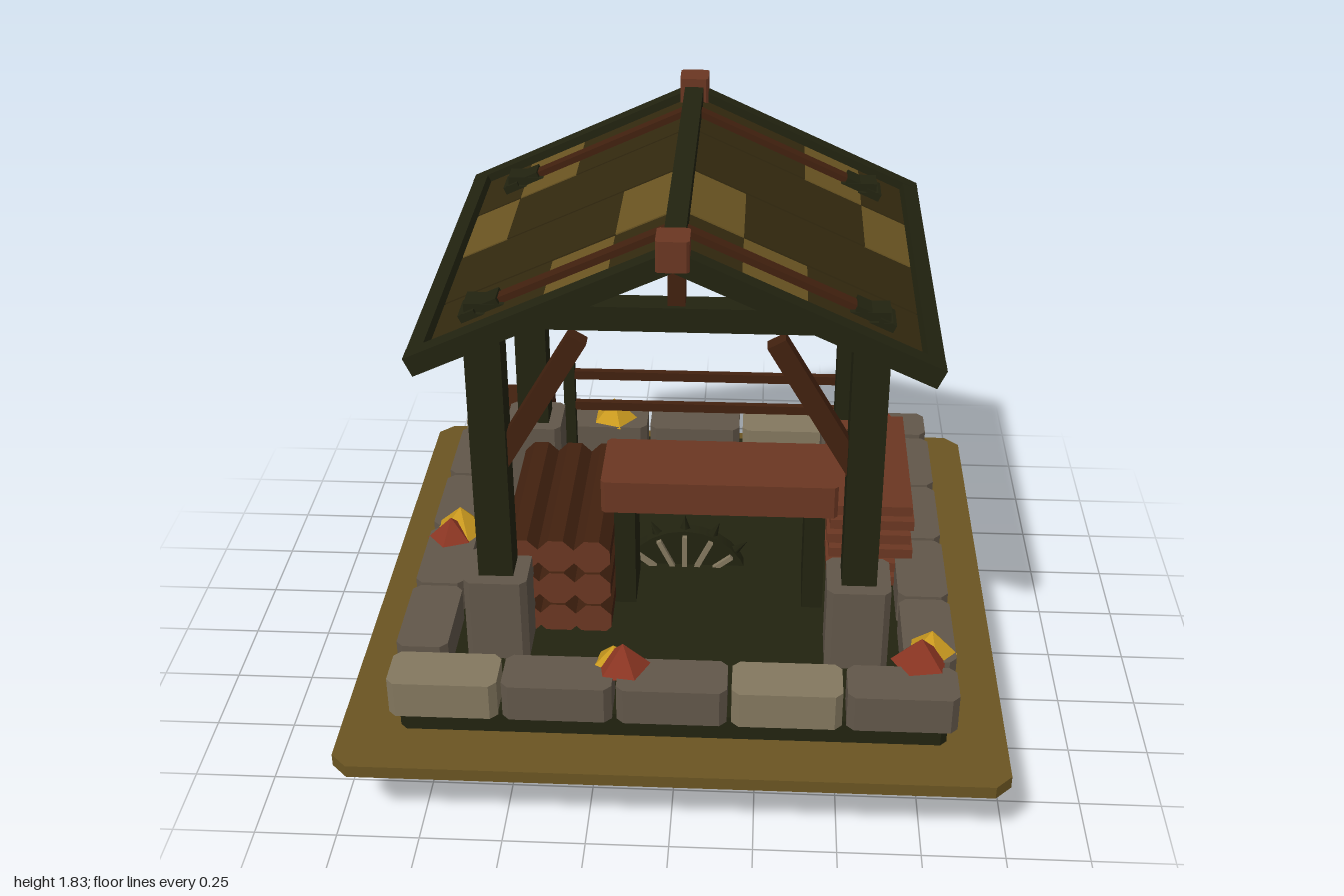
import * as THREE from 'three';

const mat = (name, color) => {
  const m = new THREE.MeshStandardMaterial({ color });
  m.name = name;
  return m;
};

export function createModel() {
  const M = {
    earth: mat('golden earth', 0x6b5522),
    timber: mat('dark timber', 0x222310),
    shingle: mat('dark shingle', 0x33290f),
    stone: mat('stone', 0x62574a),
    paleStone: mat('pale stone', 0x84785f),
    plank: mat('red brown wood', 0x6b3722),
    bark: mat('dark brown wood', 0x42210f),
    yellow: mat('yellow leaf', 0xc9991f),
    red: mat('red leaf', 0x8a3522),
  };
  const root = new THREE.Group();
  root.name = 'woodShelter';

  const add = (parent, name, geo, material, x = 0, y = 0, z = 0) => {
    const mesh = new THREE.Mesh(geo, material);
    mesh.name = name;
    mesh.position.set(x, y, z);
    parent.add(mesh);
    return mesh;
  };
  const group = (name, parent = root) => {
    const g = new THREE.Group();
    g.name = name;
    parent.add(g);
    return g;
  };
  // Box given by its ranges along x, y and z
  const box = (parent, name, m, [x0, x1], [y0, y1], [z0, z1]) =>
    add(parent, name, new THREE.BoxGeometry(x1 - x0, y1 - y0, z1 - z0), m,
      (x0 + x1) / 2, (y0 + y1) / 2, (z0 + z1) / 2);
  // Block with its four upright edges chamfered by c
  const block = (parent, name, m, [x0, x1], [y0, y1], [z0, z1], c) => {
    const w = (x1 - x0) / 2, d = (z1 - z0) / 2;
    const s = new THREE.Shape([
      [w, -d + c], [w, d - c], [w - c, d], [-w + c, d],
      [-w, d - c], [-w, -d + c], [-w + c, -d], [w - c, -d],
    ].map(([x, y]) => new THREE.Vector2(x, y)));
    const geo = new THREE.ExtrudeGeometry(s, { depth: y1 - y0, bevelEnabled: false });
    geo.rotateX(-Math.PI / 2);
    return add(parent, name, geo, m, (x0 + x1) / 2, y0, (z0 + z1) / 2);
  };

  // Ground and floor
  block(root, 'ground', M.earth, [-1, 1], [0.23, 0.27], [-1, 1], 0.05);
  block(root, 'floor', M.timber, [-0.82, 0.82], [0.27, 0.35], [-0.82, 0.82], 0.02);

  // Stone border
  const border = group('stoneBorder');
  for (const s of [-1, 1]) {
    for (let i = 0; i < 5; i++) {
      const x = (i - 2) * 0.341;
      block(border, 'borderStone', i % 3 ? M.stone : M.paleStone,
        [x - 0.164, x + 0.164], [0.34, 0.46], [s * 0.77 - 0.079, s * 0.77 + 0.079], 0.022);
    }
    for (let i = 0; i < 4; i++) {
      const z = (i - 1.5) * 0.336;
      block(border, 'borderStone', M.stone,
        [s * 0.771 - 0.079, s * 0.771 + 0.079], [0.34, 0.46], [z - 0.161, z + 0.161], 0.022);
    }
  }

  // Posts with stone feet and braces
  for (const sz of [-1, 1]) {
    const frame = group(sz > 0 ? 'frontFrame' : 'backFrame');
    const z = sz * 0.47;
    for (const sx of [-1, 1]) {
      const x = sx * 0.553;
      box(frame, 'post', M.timber, [x - 0.053, x + 0.053], [0.35, 1.52], [z - 0.053, z + 0.053]);
      block(frame, 'postFoot', M.stone, [x - 0.097, x + 0.097], [0.35, 0.63], [z - 0.097, z + 0.097], 0.02);
      const brace = add(frame, 'brace', new THREE.BoxGeometry(0.06, 0.5, 0.05), M.bark,
        sx * 0.41, 1.215, z);
      brace.rotation.z = sx * 0.53;
    }
    box(frame, 'tieBeam', M.timber, [-0.6, 0.6], [1.47, 1.545], [z - 0.04, z + 0.04]);
    box(frame, 'kingPost', M.bark, [-0.025, 0.025], [1.54, 1.75], [z - 0.025, z + 0.025]);
  }

  // Roof: each slope is built along its own local x, down from the ridge
  const roof = group('roof');
  const lightCourse = [2, 3, 0, 1];
  for (const s of [1, -1]) {
    const side = group(s > 0 ? 'leftSlope' : 'rightSlope', roof);
    side.rotation.y = s > 0 ? 0 : Math.PI;
    const slope = group('slope', side);
    slope.position.y = 1.763;
    slope.rotation.z = -0.43;
    lightCourse.forEach((light, strip) => {
      const z = s * (strip - 1.5) * 0.325;
      for (let c = 0; c < 4; c++) {
        box(slope, 'shingle', c === light ? M.earth : M.shingle,
          [c * 0.2, Math.min(c * 0.2 + 0.2, 0.78)], [-0.018, 0.004], [z - 0.157, z + 0.157]);
      }
    });
    for (const sz of [-1, 1]) {
      const z = sz * 0.647, b = sz * 0.47;
      box(slope, 'rafter', M.timber, [0, 0.81], [-0.03, 0.03], [z - 0.028, z + 0.028]);
      box(slope, 'batten', M.bark, [0, 0.58], [0.003, 0.024], [b - 0.022, b + 0.022]);
      box(slope, 'battenClamp', M.timber, [0.545, 0.615], [0, 0.03], [b - 0.038, b + 0.038]);
      box(slope, 'battenFoot', M.timber, [0.615, 0.665], [0, 0.028], [b - 0.052, b + 0.052]);
    }
    box(slope, 'eaveBeam', M.timber, [0.755, 0.81], [-0.03, 0.029], [-0.675, 0.675]);
  }
  box(roof, 'ridgeBeam', M.timber, [-0.03, 0.03], [1.74, 1.803], [-0.68, 0.68]);
  for (const s of [-1, 1]) {
    block(roof, 'ridgeCap', M.plank, [-0.046, 0.046], [1.74, 1.83], [s * 0.648 - 0.048, s * 0.648 + 0.048], 0.008);
  }

  // Workbench
  const bench = group('workbench');
  block(bench, 'benchTop', M.plank, [-0.25, 0.49], [0.72, 0.83], [0.02, 0.29], 0.012);
  for (const x of [-0.18, 0.422]) {
    box(bench, 'benchLeg', M.timber, [x - 0.033, x + 0.033], [0.35, 0.72], [0.06, 0.25]);
  }

  // Toothed wheel set through the floor
  const wheel = group('toothedWheel');
  wheel.position.y = 0.265;
  const disc = new THREE.CylinderGeometry(0.216, 0.216, 0.045, 24).rotateX(Math.PI / 2);
  add(wheel, 'disc', disc, M.timber, 0, 0, 0.002);
  for (let i = 0; i < 14; i++) {
    const arm = group('wheelArm', wheel);
    arm.rotation.z = (i / 14) * Math.PI * 2;
    add(arm, 'tooth', new THREE.ConeGeometry(0.02, 0.06, 4), M.timber, 0, 0.235, 0);
    box(arm, 'spoke', M.paleStone, [-0.008, 0.008], [0.04, 0.2], [0.02, 0.04]);
  }

  // Log pile, bark on the sides and cut wood on the ends
  const logs = group('logPile');
  const logGeo = new THREE.CylinderGeometry(0.061, 0.061, 0.6, 8).toNonIndexed();
  logGeo.computeVertexNormals();
  logGeo.rotateY(Math.PI / 8).rotateX(Math.PI / 2);
  for (let r = 0; r < 3; r++) {
    for (let c = 0; c < 3; c++) {
      add(logs, 'log', logGeo, [M.bark, M.plank, M.plank], -0.27 - c * 0.112, 0.39 + r * 0.12, 0.11);
    }
  }

  // Stack of sawn boards
  const boards = group('boardStack');
  for (let i = 0; i < 6; i++) {
    const y = 0.385 + i * 0.054, dx = (i % 2) * 0.008;
    box(boards, 'board', M.plank, [0.475 - dx, 0.745 - dx], [y - 0.017, y + 0.017], [-0.45, 0.14]);
  }

  // Back fence
  const fence = group('fence');
  for (const x of [-0.445, 0.66]) {
    box(fence, 'fencePost', M.timber, [x - 0.02, x + 0.02], [0.35, 0.82], [-0.63, -0.59]);
  }
  for (const y of [0.6, 0.725]) {
    box(fence, 'fenceRail', M.bark, [-0.44, 0.66], [y - 0.016, y + 0.016], [-0.622, -0.598]);
  }

  // Crate in the back corner
  block(root, 'crate', M.bark, [-0.69, -0.51], [0.35, 0.62], [-0.71, -0.54], 0.008);

  // Leaf heaps: low five-sided cones [x, z, material, radius, turn]
  const leaves = group('leafHeaps');
  const heaps = [
    [-0.3, -0.77, M.yellow, 0.088, 0.3],
    [0.65, -0.755, M.yellow, 0.085, 0.9], [0.695, -0.775, M.red, 0.065, 0.2],
    [-0.75, 0.01, M.yellow, 0.095, 0.4], [-0.775, 0.055, M.red, 0.08, 1],
    [-0.15, 0.725, M.red, 0.088, 0.5], [-0.18, 0.705, M.yellow, 0.065, 0.1],
    [0.775, 0.605, M.yellow, 0.08, 0.2], [0.74, 0.66, M.red, 0.09, 0.8],
  ];
  for (const [x, z, m, r, turn] of heaps) {
    const geo = new THREE.ConeGeometry(r, r * 0.95, 5).toNonIndexed();
    geo.computeVertexNormals();
    add(leaves, 'leafHeap', geo, m, x, 0.455 + r * 0.475, z).rotation.y = turn;
  }
  return root;
}
